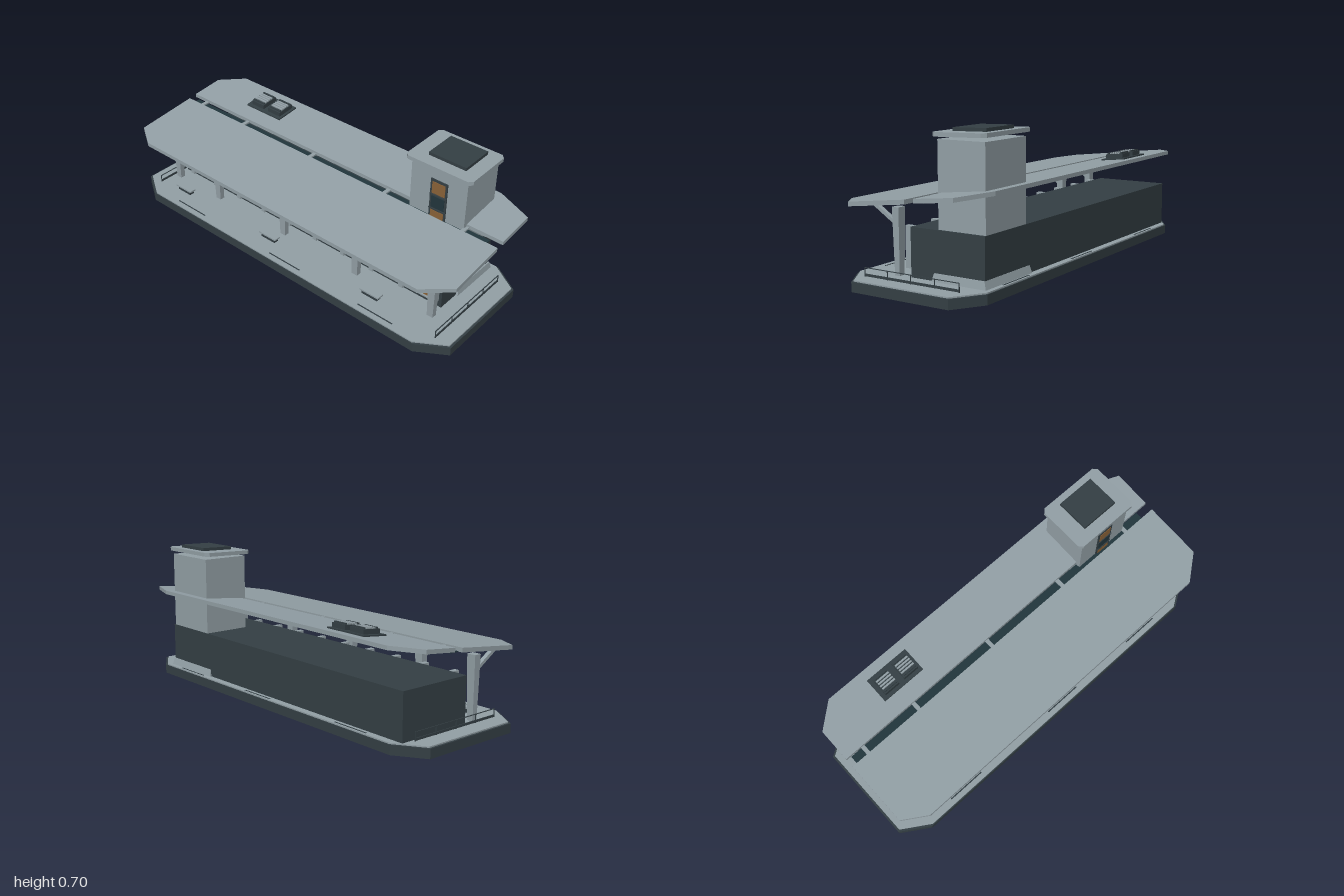
import * as THREE from 'three';

const mat = (color, opts = {}) => new THREE.MeshStandardMaterial({ color, flatShading: true, ...opts });
const light = mat(0x93a0a6), dark = mat(0x343f44), glass = mat(0x22363d), amber = mat(0x8a6238);

function add(parent, name, geometry, material) {
  const mesh = new THREE.Mesh(geometry, material);
  mesh.name = name;
  parent.add(mesh);
  return mesh;
}

// Box given by its limits on each axis
function box(x0, x1, y0, y1, z0, z1) {
  const g = new THREE.BoxGeometry(x1 - x0, y1 - y0, z1 - z0);
  return g.translate((x0 + x1) / 2, (y0 + y1) / 2, (z0 + z1) / 2);
}

// Plan outline [x, z] extruded between two heights
function slab(points, y0, y1) {
  const shape = new THREE.Shape(points.map(([x, z]) => new THREE.Vector2(x, z)));
  const g = new THREE.ExtrudeGeometry(shape, { depth: y1 - y0, bevelEnabled: false });
  return g.rotateX(Math.PI / 2).translate(0, y1, 0);
}

// Rectangle outline with cut corners
function cutRect(x0, x1, z0, z1, cx, cz) {
  return [[x0 + cx, z0], [x1 - cx, z0], [x1, z0 + cz], [x1, z1 - cz],
    [x1 - cx, z1], [x0 + cx, z1], [x0, z1 - cz], [x0, z0 + cz]];
}

// Raises a geometry along x by a constant slope, starting at x0
function shear(g, slope, x0) {
  const p = g.attributes.position;
  for (let i = 0; i < p.count; i++) p.setY(i, p.getY(i) + slope * (p.getX(i) - x0));
  g.computeVertexNormals();
  return g;
}

// Scales the upper vertices of a geometry about a centre
function taper(g, cx, cz, sx, sz) {
  g.computeBoundingBox();
  const mid = (g.boundingBox.min.y + g.boundingBox.max.y) / 2;
  const p = g.attributes.position;
  for (let i = 0; i < p.count; i++) {
    if (p.getY(i) > mid) {
      p.setX(i, cx + (p.getX(i) - cx) * sx);
      p.setZ(i, cz + (p.getZ(i) - cz) * sz);
    }
  }
  g.computeVertexNormals();
  return g;
}

export function createModel() {
  const model = new THREE.Group();
  model.name = 'stationBuilding';
  const group = (name) => {
    const g = new THREE.Group();
    g.name = name;
    model.add(g);
    return g;
  };

  // Platform
  add(model, 'platformBase', slab(cutRect(-0.345, 0.345, -0.997, 1, 0.09, 0.14), 0, 0.044), dark);
  add(model, 'platformDeck', slab(cutRect(-0.34, 0.34, -0.987, 0.99, 0.09, 0.14), 0.044, 0.05), light);
  for (const x of [-0.31, 0.328])
    for (const z of [-0.6, 0.06, 0.62])
      add(model, 'edgeStrip', box(x - 0.003, x + 0.003, 0.049, 0.0515, z - 0.1, z + 0.1), dark);

  // Main hall
  add(model, 'hall', box(-0.077, 0.307, 0.05, 0.27, -0.89, 0.82), dark);

  // Glazed facade: fins with panes between them
  const facade = group('facade');
  const bays = 9, start = -0.8, pitch = 0.177;
  for (let i = 0; i <= bays; i++) {
    const z = start + i * pitch;
    add(facade, 'facadeFin', box(-0.118, -0.077, 0.083, 0.27, z - 0.012, z + 0.012), light);
    if (i < bays) {
      add(facade, 'windowPane', box(-0.09, -0.076, 0.09, 0.25, z + 0.025, z + pitch - 0.025), i % 3 === 2 ? amber : glass);
      add(facade, 'windowSill', box(-0.098, -0.076, 0.083, 0.09, z + 0.012, z + pitch - 0.012), light);
    }
  }

  // Tower
  const tower = group('tower');
  add(tower, 'towerPlinth', taper(box(0.04, 0.318, 0.05, 0.085, 0.48, 0.832), 0.18, 0.656, 0.93, 0.97), light);
  add(tower, 'towerShaft', box(0.065, 0.305, 0.265, 0.65, 0.51, 0.81), light);
  add(tower, 'towerCap', shear(slab(cutRect(0.047, 0.318, 0.48, 0.835, 0.018, 0.018), 0.661, 0.68), 0.026, 0.047), light);
  add(tower, 'towerCapPanel', shear(box(0.11, 0.28, 0.68, 0.697, 0.565, 0.765), 0.026, 0.11), dark);
  add(tower, 'towerWindowFrame', box(0.06, 0.066, 0.27, 0.607, 0.62, 0.71), dark);
  for (let i = 0; i < 4; i++) {
    const y = 0.305 + i * 0.076;
    add(tower, 'towerWindow', box(0.058, 0.062, y, y + 0.062, 0.63, 0.7), i % 2 ? amber : glass);
    add(tower, 'towerMullion', box(0.055, 0.062, y - 0.008, y - 0.003, 0.62, 0.71), dark);
  }

  // Two sloping roof wings with a glazed slot between
  const roof = group('roof');
  const leftWing = [[0.042, -0.965], [0.042, 1], [-0.26, 1], [-0.36, 0.87], [-0.36, -0.845], [-0.285, -0.965]];
  const rightWing = [[0.087, -0.965], [0.257, -0.965], [0.357, -0.845], [0.357, 0.815], [0.285, 1], [0.087, 1]];
  add(roof, 'platformRoof', shear(slab(leftWing, 0.355, 0.375), 0.117, -0.36), light);
  add(roof, 'hallRoof', shear(slab(rightWing, 0.41, 0.429), 0.107, 0.087), light);
  add(roof, 'roofSlotGlazing', box(0.042, 0.087, 0.4, 0.404, -0.94, 0.935), glass);

  // Columns with struts, and the slot bars above them
  const columns = group('columns');
  for (const z of [-0.87, -0.56, -0.093, 0.375, 0.815]) {
    add(columns, 'column', taper(box(-0.158, -0.132, 0.05, 0.35, z - 0.016, z + 0.016), -0.145, z, 1.4, 1.4), light);
    const strut = add(columns, 'strut', new THREE.BoxGeometry(0.165, 0.015, 0.02), light);
    strut.position.set(-0.226, 0.321, z);
    strut.rotation.z = -0.56;
    add(roof, 'roofSlotBar', box(0.035, 0.092, 0.41, 0.418, z - 0.01, z + 0.01), light);
  }

  // Rooftop ventilation units, following the roof slope
  const vents = group('ventilation');
  const onRoof = (name, g, m) => add(vents, name, shear(g, 0.107, 0.24), m);
  onRoof('ventTray', box(0.175, 0.305, 0.444, 0.452, -0.655, -0.42), dark);
  for (const z of [-0.592, -0.476]) {
    onRoof('ventUnit', box(0.193, 0.287, 0.452, 0.474, z - 0.042, z + 0.042), dark);
    for (let i = 0; i < 6; i++) {
      const x = 0.204 + i * 0.0145;
      onRoof('ventSlat', box(x - 0.004, x + 0.004, 0.474, 0.481, z - 0.038, z + 0.038), i % 5 ? light : dark);
    }
  }

  // Railings at both ends
  for (const z of [0.915, -0.905]) {
    const railing = group('railing');
    add(railing, 'topRail', box(-0.255, 0.248, 0.088, 0.091, z - 0.002, z + 0.002), dark);
    add(railing, 'bottomRail', box(-0.255, 0.248, 0.052, 0.063, z - 0.002, z + 0.002), dark);
    for (let i = 0; i < 5; i++) {
      const x = -0.2535 + i * 0.125;
      add(railing, 'railPost', box(x - 0.0015, x + 0.0015, 0.05, 0.09, z - 0.002, z + 0.002), dark);
    }
  }

  // Benches
  for (const z of [-0.74, -0.12, 0.53]) {
    const bench = group('bench');
    add(bench, 'benchFoot', box(-0.238, -0.212, 0.05, 0.069, z - 0.045, z + 0.045), dark);
    add(bench, 'benchSeat', box(-0.243, -0.207, 0.069, 0.077, z - 0.055, z + 0.055), light);
  }

  return model;
}
